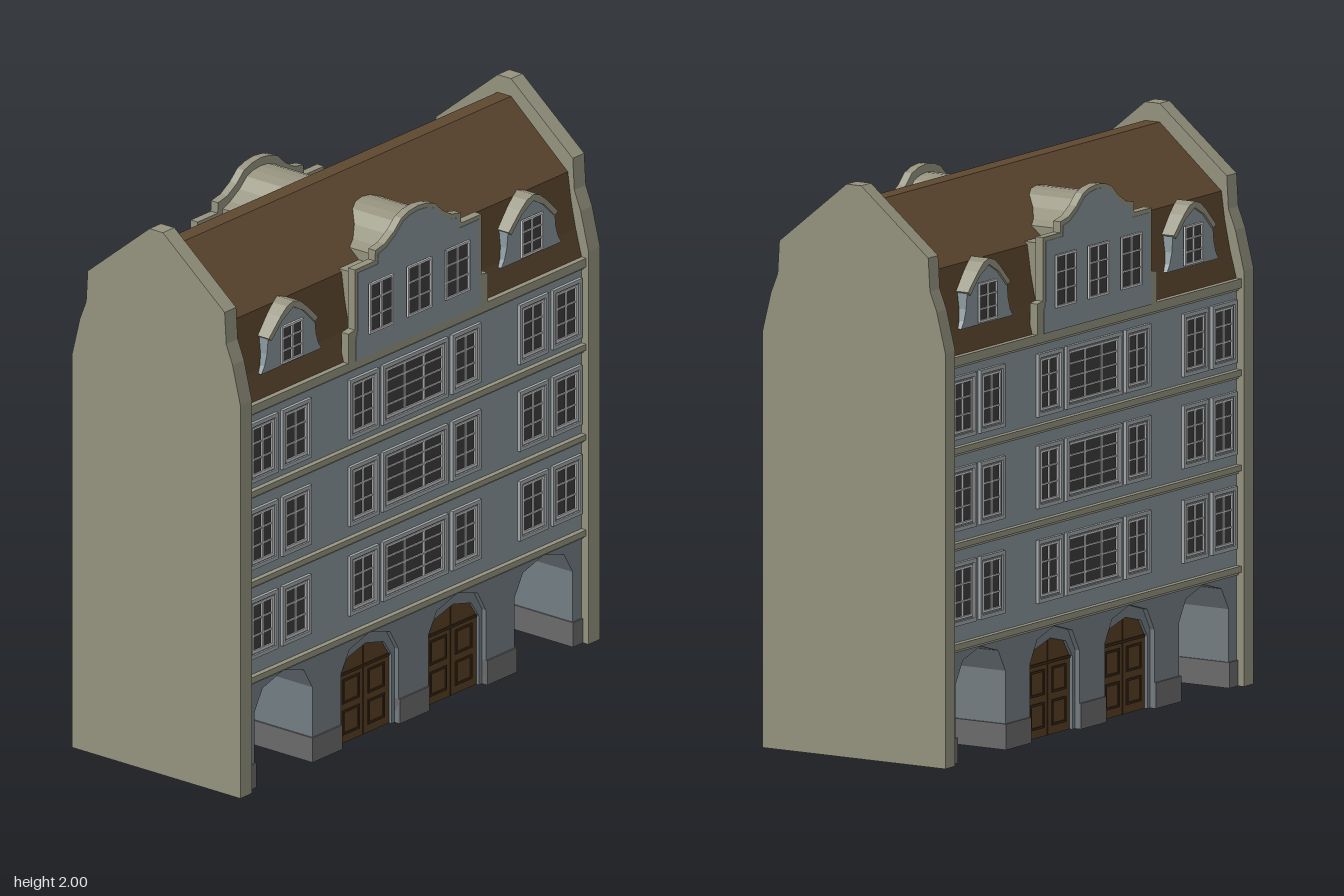
import * as THREE from 'three';

const mat = (color) => new THREE.MeshStandardMaterial({ color });
const M = {
  wall: mat(0x87949a), base: mat(0x737d82), stone: mat(0x95937f), roof: mat(0x5e4830),
  door: mat(0x573f24), groove: mat(0x3a2916), glass: mat(0x3c3c3c), trim: mat(0xa3a8a9),
  sash: mat(0xc8c8c8), plinth: mat(0x6b6b6b),
};
const WALL_Z = 0.345, HALF_W = 0.905;

function add(parent, name, geometry, material) {
  const mesh = new THREE.Mesh(geometry, material);
  mesh.name = name;
  parent.add(mesh);
  return mesh;
}

// Box given by its limits on each axis
function box(parent, name, [x0, x1], [y0, y1], [z0, z1], material) {
  const g = new THREE.BoxGeometry(x1 - x0, y1 - y0, z1 - z0);
  g.translate((x0 + x1) / 2, (y0 + y1) / 2, (z0 + z1) / 2);
  return add(parent, name, g, material);
}

const shapeOf = (pts) => new THREE.Shape(pts.map(([x, y]) => new THREE.Vector2(x, y)));

// Outline in x, y extruded from z0 to z1
function slab(parent, name, pts, z0, z1, material, holes = []) {
  const s = shapeOf(pts);
  holes.forEach((h) => s.holes.push(shapeOf(h)));
  const g = new THREE.ExtrudeGeometry(s, { depth: z1 - z0, bevelEnabled: false });
  g.translate(0, 0, z0);
  return add(parent, name, g, material);
}

// Symmetric outline from its right half, listed bottom to top
const mirrored = (half, cx = 0) => [
  ...half.map(([x, y]) => [cx + x, y]),
  ...half.filter(([x]) => x > 0).reverse().map(([x, y]) => [cx - x, y]),
];

// Symmetric z, y section extruded along x
function section(parent, name, half, x0, x1, material) {
  const g = new THREE.ExtrudeGeometry(shapeOf(mirrored(half)), { depth: x1 - x0, bevelEnabled: false });
  g.rotateY(Math.PI / 2);
  g.translate(x0, 0, 0);
  return add(parent, name, g, material);
}

// Faceted arch, right foot to left foot
function arch(cx, half, spring, top) {
  const pts = [[cx + half, 0]];
  for (let i = 0; i <= 4; i++) {
    const a = (i * Math.PI) / 4;
    pts.push([cx + half * Math.cos(a), spring + (top - spring) * Math.sin(a)]);
  }
  return [...pts, [cx - half, 0]];
}

// Ground-floor outline with arches cut up from the bottom edge
function arcade(arches) {
  const pts = [[-HALF_W, 0]];
  arches.forEach((a) => pts.push(...[...a].reverse()));
  return [...pts, [HALF_W, 0], [HALF_W, 0.4], [-HALF_W, 0.4]];
}

function ring(parent, name, x0, x1, y0, y1, t, z0, z1, material) {
  const rect = (d) => [[x0 + d, y0 + d], [x1 - d, y0 + d], [x1 - d, y1 - d], [x0 + d, y1 - d]];
  slab(parent, name, rect(0), z0, z1, material, [rect(t)]);
}

// Window with glass, sash, glazing bars and an optional outer surround
function makeWindow(parent, cx, w, y0, y1, cols, rows, z, surround = true) {
  const g = new THREE.Group();
  g.name = 'window';
  let x0 = cx - w / 2, x1 = cx + w / 2;
  if (surround) {
    ring(g, 'windowSurround', x0, x1, y0, y1, 0.014, z - 0.005, z + 0.012, M.trim);
    ring(g, 'innerSurround', x0 + 0.014, x1 - 0.014, y0 + 0.014, y1 - 0.014, 0.006, z - 0.005, z + 0.005, M.base);
    x0 += 0.02; x1 -= 0.02; y0 += 0.02; y1 -= 0.02;
  }
  box(g, 'glass', [x0, x1], [y0, y1], [z - 0.005, z + 0.002], M.glass);
  ring(g, 'sash', x0, x1, y0, y1, 0.008, z - 0.004, z + 0.008, M.sash);
  for (let i = 1; i < cols; i++) {
    const x = x0 + ((x1 - x0) * i) / cols;
    box(g, 'glazingBar', [x - 0.004, x + 0.004], [y0, y1], [z, z + 0.007], M.sash);
  }
  for (let i = 1; i < rows; i++) {
    const y = y0 + ((y1 - y0) * i) / rows;
    box(g, 'glazingBar', [x0, x1], [y - 0.003, y + 0.003], [z, z + 0.006], M.sash);
  }
  parent.add(g);
}

function makeDoor(parent, cx) {
  const g = new THREE.Group();
  g.name = 'door';
  const leaf = arch(cx, 0.138, 0.255, 0.34);
  slab(g, 'doorLeaf', leaf, 0.3, 0.316, M.door);
  slab(g, 'doorSurround', [...arch(cx, 0.155, 0.275, 0.385), ...[...leaf].reverse()], 0.304, 0.327, M.base);
  box(g, 'doorJoint', [cx - 0.003, cx + 0.003], [0, 0.338], [0.31, 0.317], M.groove);
  for (const s of [-1, 1]) {
    for (const [y0, y1] of [[0.03, 0.12], [0.145, 0.235]]) {
      const x = cx + s * 0.068;
      ring(g, 'doorPanel', x - 0.045, x + 0.045, y0, y1, 0.008, 0.31, 0.32, M.groove);
    }
  }
  box(g, 'doorRail', [cx - 0.136, cx + 0.136], [0.25, 0.26], [0.31, 0.32], M.groove);
  parent.add(g);
}

function makeDormer(parent, cx) {
  const g = new THREE.Group();
  g.name = 'dormer';
  const bell = [[0.162, 1.505], [0.145, 1.53], [0.132, 1.57], [0.125, 1.63], [0.065, 1.685], [0.03, 1.708], [0, 1.715]];
  slab(g, 'dormerBody', mirrored(bell, cx), 0.2, 0.336, M.wall);
  const under = [[0.118, 1.618], [0.06, 1.675], [0, 1.708]];
  const over = [[0.133, 1.63], [0.07, 1.692], [0.035, 1.72], [0, 1.73]];
  const row = (h) => [...h.map(([x, y]) => [cx + x, y]), ...h.slice(0, -1).reverse().map(([x, y]) => [cx - x, y])];
  slab(g, 'dormerRoof', [...row(over), ...row(under).reverse()], 0.2, 0.345, M.stone);
  makeWindow(g, cx, 0.115, 1.512, 1.65, 2, 3, 0.336, false);
  parent.add(g);
}

// Stepped and curved gable, with a narrower body running back into the roof
function makeGable(parent) {
  const g = new THREE.Group();
  g.name = 'gable';
  const edge = [[0.375, 1.42], [0.375, 1.53], [0.34, 1.535], [0.34, 1.757], [0.232, 1.757], [0.23, 1.795],
    [0.18, 1.805], [0.13, 1.835], [0.09, 1.872], [0.05, 1.886], [0, 1.892]];
  const face = [[0.336, 1.42], [0.336, 1.5], [0.326, 1.53], [0.326, 1.742], [0.218, 1.742], [0.216, 1.78],
    [0.174, 1.79], [0.122, 1.822], [0.083, 1.858], [0.046, 1.871], [0, 1.876]];
  const body = [[0.312, 1.42], [0.312, 1.73], [0.205, 1.73], [0.205, 1.765], [0.165, 1.78], [0.115, 1.81],
    [0.075, 1.845], [0.04, 1.858], [0, 1.862]];
  slab(g, 'gableCoping', mirrored(edge), 0.335, 0.366, M.stone);
  slab(g, 'gableFace', mirrored(face), 0.36, 0.368, M.wall);
  slab(g, 'gableBody', mirrored(body), 0.1, 0.336, M.stone);
  for (const x of [-0.205, 0, 0.205]) makeWindow(g, x, 0.128, 1.5, 1.685, 2, 3, 0.368, false);
  parent.add(g);
}

function makeFacade(name, passages) {
  const f = new THREE.Group();
  f.name = name;
  const doors = [-0.235, 0.235];
  const cuts = doors.map((x) => arch(x, 0.155, 0.275, 0.385));
  slab(f, 'groundFloorWall', arcade([passages[0], ...cuts, passages[1]]), 0.305, WALL_Z, M.base);
  doors.forEach((x) => makeDoor(f, x));
  for (const [a, b] of [[-0.55, -0.39], [-0.08, 0.08], [0.39, 0.55]]) {
    box(f, 'plinth', [a, b], [0, 0.09], [0.3, 0.351], M.plinth);
  }
  // Three window storeys
  for (const y of [0.48, 0.81, 1.13]) {
    makeWindow(f, 0, 0.35, y, y + 0.22, 3, 4, WALL_Z);
    for (const s of [-1, 1]) {
      for (const x of [0.275, 0.638, 0.817]) makeWindow(f, s * x, 0.155, y, y + 0.22, 2, 3, WALL_Z);
    }
  }
  makeGable(f);
  for (const s of [-1, 1]) makeDormer(f, s * 0.645);
  return f;
}

export function createModel() {
  const model = new THREE.Group();
  model.name = 'townHouse';
  const passages = [-0.7, 0.7].map((x) => arch(x, 0.156, 0.275, 0.385));

  // Body: arcaded ground floor and upper storeys
  slab(model, 'groundFloorCore', arcade(passages), -0.305, 0.305, M.base);
  box(model, 'upperStoreys', [-HALF_W, HALF_W], [0.4, 1.42], [-WALL_Z, WALL_Z], M.wall);
  box(model, 'corePlinth', [-0.55, 0.55], [0, 0.09], [-0.302, 0.302], M.plinth);
  for (const s of [-1, 1]) {
    const xs = [s * 0.851, s * 0.91].sort((a, b) => a - b);
    box(model, 'passagePlinth', xs, [0, 0.09], [-0.351, 0.351], M.plinth);
  }

  // String courses and eaves cornice
  for (const [y0, y1] of [[0.398, 0.42], [0.752, 0.772], [1.083, 1.105], [1.39, 1.422]]) {
    box(model, 'stringCourse', [-HALF_W, HALF_W], [y0, y1], [-0.365, 0.365], M.stone);
    box(model, 'courseMoulding', [-HALF_W, HALF_W], [y0 - 0.01, y0], [-0.354, 0.354], M.stone);
  }

  // Two-pitch roof
  section(model, 'roof', [[0.345, 1.42], [0.318, 1.52], [0.297, 1.62], [0.283, 1.72], [0.03, 1.935]], -HALF_W, HALF_W, M.roof);

  // End walls rising above the roof
  const endWall = [[0.375, 0], [0.375, 1.45], [0.34, 1.59], [0.312, 1.66], [0.305, 1.775], [0.03, 2]];
  section(model, 'rightEndWall', endWall, -0.967, -HALF_W, M.stone);
  section(model, 'leftEndWall', endWall, HALF_W, 0.967, M.stone);

  const back = makeFacade('backFacade', passages);
  back.rotation.y = Math.PI;
  model.add(makeFacade('frontFacade', passages), back);
  return model;
}
